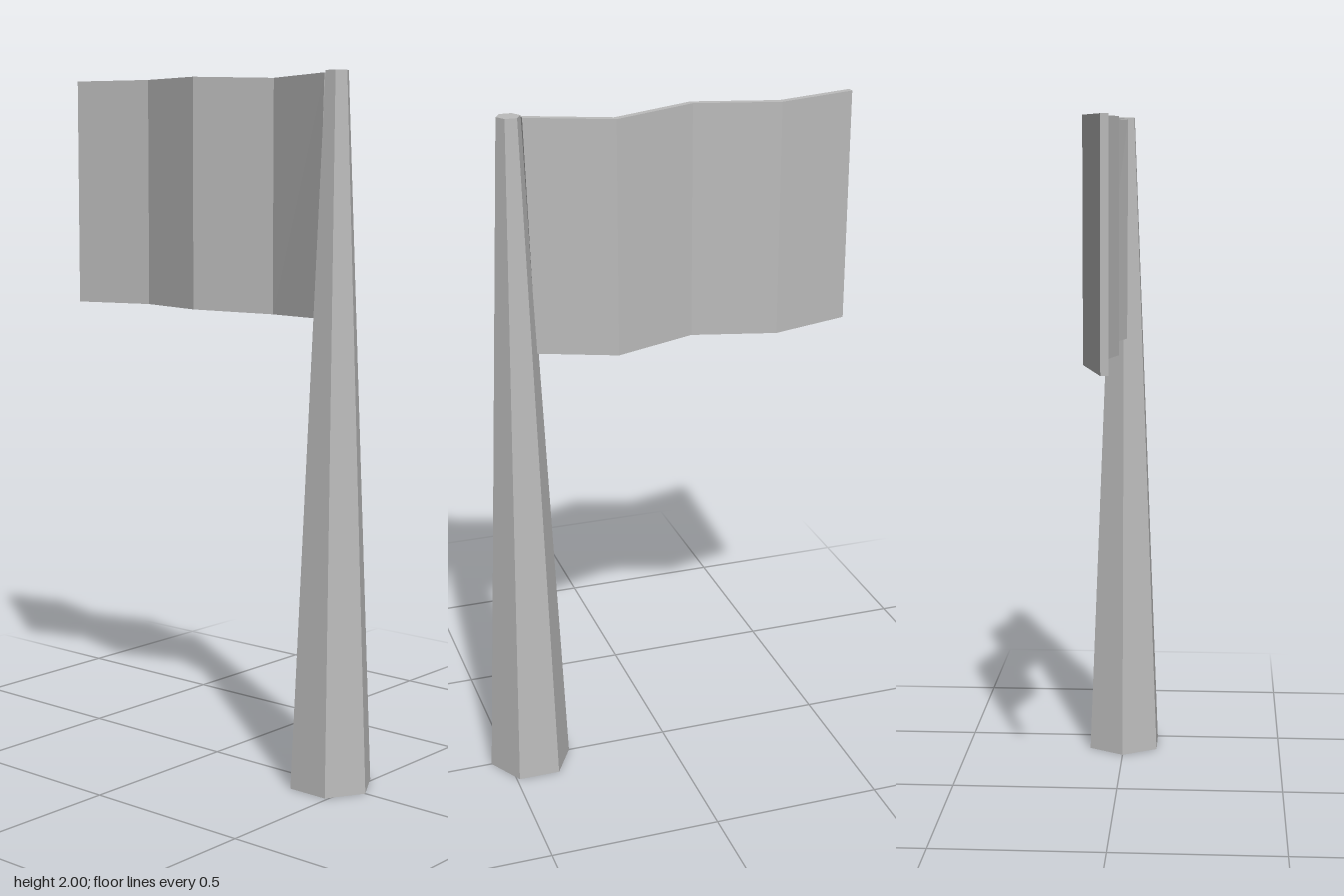
import * as THREE from 'three';

export function createModel() {
  const group = new THREE.Group();
  group.name = 'flagOnPole';
  const grey = new THREE.MeshStandardMaterial({ color: 0xbcbcbc, flatShading: true, side: THREE.DoubleSide });
  grey.name = 'plain grey';

  const poleZ = 0.43, height = 2, bottomRadius = 0.123, topRadius = 0.034;

  // Tapered hexagonal pole, hollow and open at the bottom
  const pole = new THREE.Mesh(
    new THREE.CylinderGeometry(topRadius, bottomRadius, height, 6, 1, true), grey);
  pole.name = 'pole';
  pole.position.set(0, height / 2, poleZ);
  group.add(pole);

  // Cap closing the top of the pole
  const cap = new THREE.Mesh(new THREE.CircleGeometry(topRadius, 6, Math.PI / 2), grey);
  cap.name = 'poleCap';
  cap.rotation.x = -Math.PI / 2;
  cap.position.set(0, height, poleZ);
  group.add(cap);

  // Folded flag: each station from free end to pole is [x, z top, z bottom, y top, y bottom]
  const stations = [
    [0, -0.555, -0.555, 1.998, 1.328],
    [0.063, -0.32, -0.32, 1.998, 1.328],
    [0, -0.083, -0.083, 1.998, 1.328],
    [0.074, 0.157, 0.157, 1.99, 1.322],
    [0, 0.395, 0.375, 1.995, 1.327],
  ];
  const thickness = 0.022;
  const folds = stations.length - 1;
  const cloth = new THREE.BoxGeometry(thickness, 1, folds, 1, 1, folds);
  const p = cloth.attributes.position;
  for (let i = 0; i < p.count; i++) {
    const [x, zTop, zBottom, yTop, yBottom] = stations[Math.round(p.getZ(i) + folds / 2)];
    const top = p.getY(i) > 0;
    p.setXYZ(i, x + p.getX(i), top ? yTop : yBottom, top ? zTop : zBottom);
  }
  const flagGeometry = cloth.toNonIndexed();
  flagGeometry.computeVertexNormals();
  const flag = new THREE.Mesh(flagGeometry, grey);
  flag.name = 'flag';
  group.add(flag);

  return group;
}
